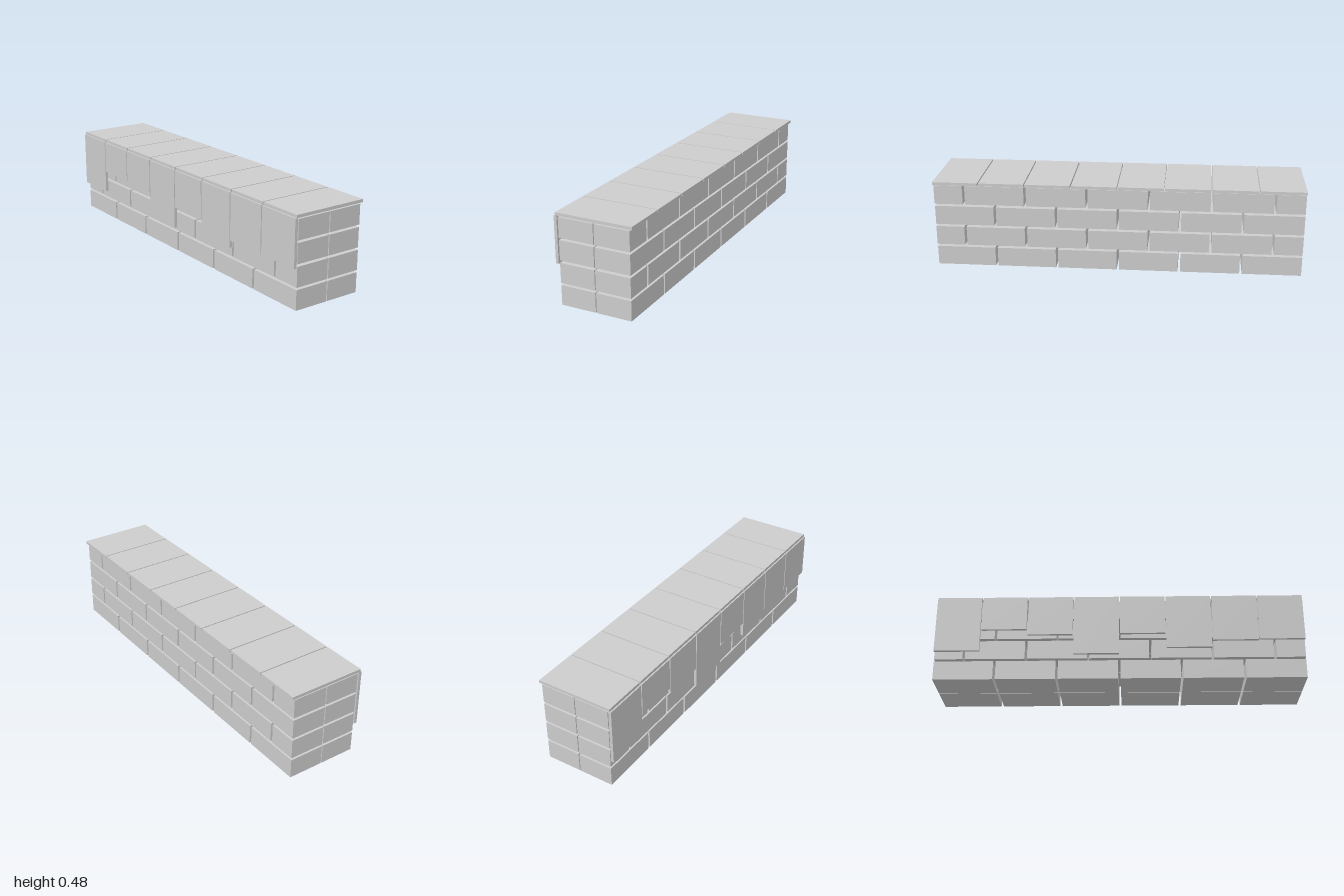
import * as THREE from 'three';

export function createModel() {
  const model = new THREE.Group();
  const stone = new THREE.MeshStandardMaterial({ color: 0xcccccc });
  stone.name = 'pale grey stone';

  // Box given by its lower and upper limits on each axis
  const block = (name, parent, x0, x1, y0, y1, z0, z1) => {
    const mesh = new THREE.Mesh(new THREE.BoxGeometry(x1 - x0, y1 - y0, z1 - z0), stone);
    mesh.position.set((x0 + x1) / 2, (y0 + y1) / 2, (z0 + z1) / 2);
    mesh.name = name;
    parent.add(mesh);
  };

  // Brick wall: four courses in running bond, two bricks deep, with open joints
  const length = 0.322, pitch = 0.335, height = 0.106, rise = 0.1185;
  const rows = [[-0.001, 0.192], [-0.199, -0.006]];
  for (let course = 0; course < 4; course++) {
    const group = new THREE.Group();
    group.name = 'brickCourse' + (course + 1);
    model.add(group);
    const staggered = course % 2 === 1;
    const start = staggered ? -1 - pitch / 2 : -1;
    const count = staggered ? 7 : 6;
    const y = course * rise;
    for (const [z0, z1] of rows) {
      for (let i = 0; i < count; i++) {
        // Bricks at the ends of staggered courses are cut to half length
        const x0 = Math.max(-0.998, start + i * pitch);
        const x1 = Math.min(0.998, start + i * pitch + length);
        block('brick', group, x0, x1, y, y + height, z0, z1);
      }
    }
  }

  // Coping slabs on top and facing panels hanging to uneven depths in front
  const panelBottoms = [0.16, 0.285, 0.253, 0.138, 0.257, 0.172, 0.214, 0.218];
  const coping = new THREE.Group();
  coping.name = 'coping';
  const facing = new THREE.Group();
  facing.name = 'frontFacing';
  model.add(coping, facing);
  panelBottoms.forEach((bottom, i) => {
    const x0 = -1 + i * 0.2508, x1 = x0 + 0.2444;
    block('copingSlab', coping, x0, x1, 0.468, 0.484, -0.213, 0.206);
    block('facingPanel', facing, x0, x1, bottom, 0.468, 0.198, 0.214);
  });

  return model;
}
